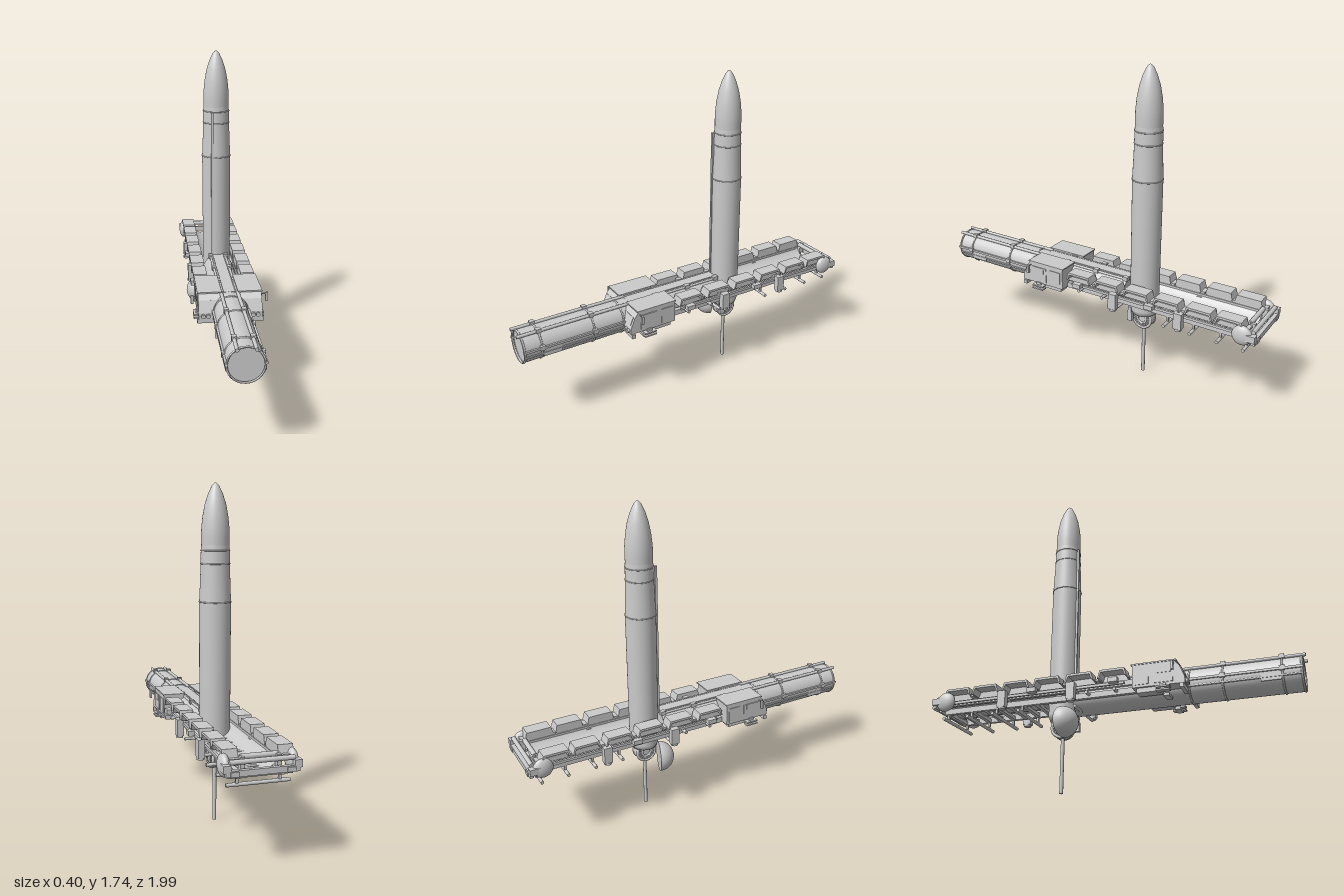
import * as THREE from 'three';

const mat = new THREE.MeshStandardMaterial({ color: 0xcccccc, side: THREE.DoubleSide });

export function createModel() {
  const root = new THREE.Group();
  const add = (name, geo, x = 0, y = 0, z = 0, parent = root) => {
    const m = new THREE.Mesh(geo, mat);
    m.name = name;
    m.position.set(x, y, z);
    parent.add(m);
    return m;
  };
  const box = (name, w, h, d, x, y, z) => add(name, new THREE.BoxGeometry(w, h, d), x, y, z);
  // cylinder along a chosen axis
  const rod = (name, axis, r, len, x, y, z, seg = 12) => {
    const g = new THREE.CylinderGeometry(r, r, len, seg);
    if (axis === 'x') g.rotateZ(Math.PI / 2);
    if (axis === 'z') g.rotateX(Math.PI / 2);
    return add(name, g, x, y, z);
  };
  const lathe = (pts, seg = 40) => new THREE.LatheGeometry(pts.map(p => new THREE.Vector2(...p)), seg);
  // side profile given as (z, y), spanning x0 to x1
  const profile = (name, pts, x0, x1) => {
    const s = new THREE.Shape(pts.map(p => new THREE.Vector2(...p)));
    const g = new THREE.ExtrudeGeometry(s, { depth: x1 - x0, bevelEnabled: false });
    g.rotateY(-Math.PI / 2);
    return add(name, g, x1, 0, 0);
  };
  const ring = (name, r, t, axis, x, y, z) => {
    const g = new THREE.TorusGeometry(r, t, 8, 40);
    if (axis === 'x') g.rotateY(Math.PI / 2);
    if (axis === 'y') g.rotateX(Math.PI / 2);
    return add(name, g, x, y, z);
  };

  // Rocket: body, ogive nose, joint rings and cable duct
  const RZ = -0.285;
  add('rocketBody', lathe([[0, 0.38], [0.068, 0.38], [0.079, 0.41], [0.08, 1.15]]), 0, 0, RZ);
  add('rocketUpperStage', lathe([[0.08, 1.15], [0.077, 1.22], [0.073, 1.33], [0.072, 1.405], [0.07, 1.43]]), 0, 0, RZ);
  add('rocketNose', lathe([[0.07, 1.43], [0.0705, 1.47], [0.07, 1.51], [0.064, 1.57], [0.053, 1.63],
    [0.037, 1.68], [0.019, 1.718], [0.008, 1.731], [0, 1.735]]), 0, 0, RZ);
  for (const [y, r] of [[1.15, 0.08], [1.34, 0.0725], [1.405, 0.072]]) ring('rocketRing', r, 0.003, 'y', 0, y, RZ);
  box('cableDuct', 0.012, 0.83, 0.012, -0.03, 0.99, RZ + 0.076);

  // Exhaust rod and round hub below the rocket
  rod('exhaustRod', 'y', 0.01, 0.3, 0, 0.15, RZ);
  rod('hub', 'x', 0.058, 0.05, 0, 0.345, RZ, 28);
  for (const s of [-1, 1]) {
    ring('hubRing', 0.053, 0.008, 'x', s * 0.024, 0.345, RZ);
    ring('hubInnerRing', 0.026, 0.006, 'x', s * 0.026, 0.345, RZ);
  }
  for (let i = 0; i < 16; i++) {
    const a = i * Math.PI / 8;
    rod('hubBolt', 'x', 0.005, 0.064, 0, 0.345 + 0.042 * Math.sin(a), RZ + 0.042 * Math.cos(a), 6);
  }

  // Swung-aside domed cover
  const cover = new THREE.Group();
  cover.name = 'domedCover';
  add('coverDome', new THREE.SphereGeometry(0.082, 32, 14, 0, Math.PI * 2, 0, Math.PI / 2).rotateX(Math.PI / 2), 0, 0, 0, cover);
  add('coverBack', new THREE.CircleGeometry(0.082, 32).rotateY(Math.PI), 0, 0, 0, cover);
  cover.position.set(-0.1, 0.345, -0.245);
  cover.rotation.y = -0.3;
  root.add(cover);

  // Launch canister lying along the vehicle
  const CY = 0.49;
  add('canister', new THREE.CylinderGeometry(0.087, 0.087, 1.18, 40, 1, true).rotateX(Math.PI / 2), 0, CY, 0.39);
  add('canisterFrontCap', new THREE.CircleGeometry(0.086, 40), 0, CY, 0.965);
  add('canisterBackCap', new THREE.CircleGeometry(0.086, 40).rotateY(Math.PI), 0, CY, -0.19);
  for (const z of [0.972, 0.88, 0.59, 0.42]) ring('canisterBand', 0.087, 0.005, 'z', 0, CY, z);
  box('canisterSpine', 0.06, 0.02, 0.56, 0, 0.567, 0.08);
  for (const s of [-1, 1]) {
    rod('topRail', 'z', 0.009, 0.64, s * 0.043, 0.573, 0.675);
    rod('rearTopRail', 'z', 0.007, 0.55, s * 0.043, 0.568, 0.08);
    box('sideRail', 0.014, 0.012, 0.6, s * 0.089, 0.498, 0.68);
    box('lowerSideRail', 0.01, 0.008, 0.58, s * 0.086, 0.465, 0.68);
    box('sidePanel', 0.006, 0.045, 0.1, s * 0.085, 0.468, 0.825);
    for (const z of [0.88, 0.59]) {
      box('topClamp', 0.025, 0.022, 0.026, s * 0.043, 0.577, z);
      box('sideClamp', 0.02, 0.024, 0.026, s * 0.09, 0.5, z);
    }
    for (const z of [0.2, 0, -0.19]) box('railClamp', 0.025, 0.022, 0.03, s * 0.043, 0.572, z);
  }

  // Cradle trough behind the rocket
  const trough = new THREE.CylinderGeometry(0.11, 0.11, 0.7, 24, 1, true, -1.05, 2.1).rotateX(Math.PI / 2);
  add('cradleTrough', trough, 0, 0.58, -0.57);

  // Chassis: ladder frame, crossbars and axles
  for (const s of [-1, 1]) {
    box('frameRail', 0.022, 0.03, 1.17, s * 0.1, 0.47, -0.365);
    box('upperFrameRail', 0.02, 0.028, 1.13, s * 0.1, 0.515, -0.345);
    box('outerPipe', 0.012, 0.014, 1.0, s * 0.14, 0.505, -0.4);
  }
  for (let i = 0; i < 8; i++) box('crossbar', 0.2, 0.02, 0.022, 0, 0.465, -0.4 - i * 0.075);
  for (const z of [-0.48, -0.63, -0.78, -0.92]) {
    rod('axle', 'x', 0.009, 0.3, 0, 0.42, z);
    for (const s of [-1, 1]) box('axleHanger', 0.012, 0.05, 0.012, s * 0.1, 0.44, z);
  }
  for (const z of [0.05, -0.1]) for (const s of [-1, 1]) rod('axleStub', 'x', 0.009, 0.07, s * 0.115, 0.475, z);

  // Fenders: sloped-end shells, open underneath
  const fenderStarts = [-0.92, -0.755, -0.575, -0.395, -0.215, -0.035];
  for (const z of fenderStarts) {
    const e = z + 0.155;
    const pts = [[z, 0.535], [z + 0.012, 0.578], [e - 0.012, 0.578], [e, 0.535],
      [e - 0.008, 0.535], [e - 0.019, 0.566], [z + 0.019, 0.566], [z + 0.008, 0.535]];
    for (const s of [-1, 1]) {
      profile('fender', pts, s > 0 ? 0.092 : -0.166, s > 0 ? 0.166 : -0.092);
      box('fenderInnerWall', 0.006, 0.04, 0.14, s * 0.095, 0.55, (z + e) / 2);
      box('fenderBracket', 0.05, 0.012, 0.02, s * 0.12, 0.535, z - 0.01);
    }
  }

  // Stabiliser jacks and side equipment
  for (const s of [-1, 1]) {
    for (const z of [-0.18, -0.57]) {
      box('jackHousing', 0.034, 0.09, 0.045, s * 0.16, 0.485, z);
      rod('jackFoot', 'y', 0.02, 0.012, s * 0.16, 0.436, z);
      box('jackArm', 0.07, 0.025, 0.03, s * 0.12, 0.5, z);
    }
    for (const z of [-0.4, 0.05]) box('sideBox', 0.03, 0.025, 0.05, s * 0.163, 0.515, z);
    // Rear domes
    const dome = new THREE.SphereGeometry(0.053, 24, 16);
    dome.scale(0.5, 1, 1);
    add('rearDome', dome, s * 0.158, 0.51, -0.912);
    box('rearCorner', 0.035, 0.035, 0.08, s * 0.163, 0.51, -0.945);
  }

  // Rear end beams
  box('rearBeam', 0.34, 0.028, 0.02, 0, 0.49, -0.975);
  rod('rearUpperBar', 'x', 0.012, 0.3, 0, 0.535, -0.965);
  rod('rearLowerBar', 'x', 0.008, 0.3, 0, 0.465, -0.945);
  rod('rearCrossPipe', 'x', 0.013, 0.17, 0, 0.545, -0.925);
  for (const s of [-1, 1]) {
    box('rearPost', 0.02, 0.06, 0.03, s * 0.085, 0.52, -0.94);
    box('rearLight', 0.04, 0.022, 0.01, s * 0.13, 0.488, -0.985);
  }

  // Twin cabs flanking the canister
  const cab = [[0.15, 0.46], [0.15, 0.58], [0.37, 0.58], [0.395, 0.55], [0.42, 0.49], [0.42, 0.458]];
  for (const s of [-1, 1]) {
    profile('cab', cab, s > 0 ? 0.045 : -0.163, s > 0 ? 0.163 : -0.045);
    box('cabRoof', 0.125, 0.007, 0.235, s * 0.104, 0.583, 0.262);
    box('cabDoor', 0.005, 0.085, 0.1, s * 0.164, 0.515, 0.31);
    box('doorWindow', 0.004, 0.035, 0.075, s * 0.167, 0.54, 0.315);
    box('rearPanel', 0.005, 0.085, 0.07, s * 0.164, 0.515, 0.2);
    box('windscreen', 0.09, 0.045, 0.006, s * 0.105, 0.529, 0.404).rotation.x = -0.4;
    box('bumper', 0.12, 0.022, 0.02, s * 0.11, 0.445, 0.405);
    rod('headlight', 'z', 0.011, 0.02, s * 0.14, 0.475, 0.422);
    rod('headlight', 'z', 0.011, 0.02, s * 0.115, 0.475, 0.422);
    // Mirrors
    box('mirror', 0.014, 0.045, 0.012, s * 0.192, 0.545, 0.365);
    rod('mirrorArm', 'x', 0.003, 0.04, s * 0.175, 0.562, 0.365, 6);
    // Steps and undercab fittings
    for (const y of [0.43, 0.447]) box('cabStep', 0.035, 0.008, 0.07, s * 0.165, y, 0.31);
    box('stepHanger', 0.012, 0.04, 0.03, s * 0.165, 0.445, 0.31);
    box('underCabBox', 0.06, 0.03, 0.12, s * 0.12, 0.45, 0.23);
    box('underCabBeam', 0.07, 0.014, 0.03, s * 0.11, 0.415, 0.32);
  }
  box('serviceBox', 0.02, 0.05, 0.03, 0.06, 0.362, -0.23);
  box('serviceArm', 0.02, 0.04, 0.02, 0.06, 0.4, -0.23);
  rod('underCrossbar', 'x', 0.008, 0.26, 0, 0.415, -0.17);

  return root;
}
